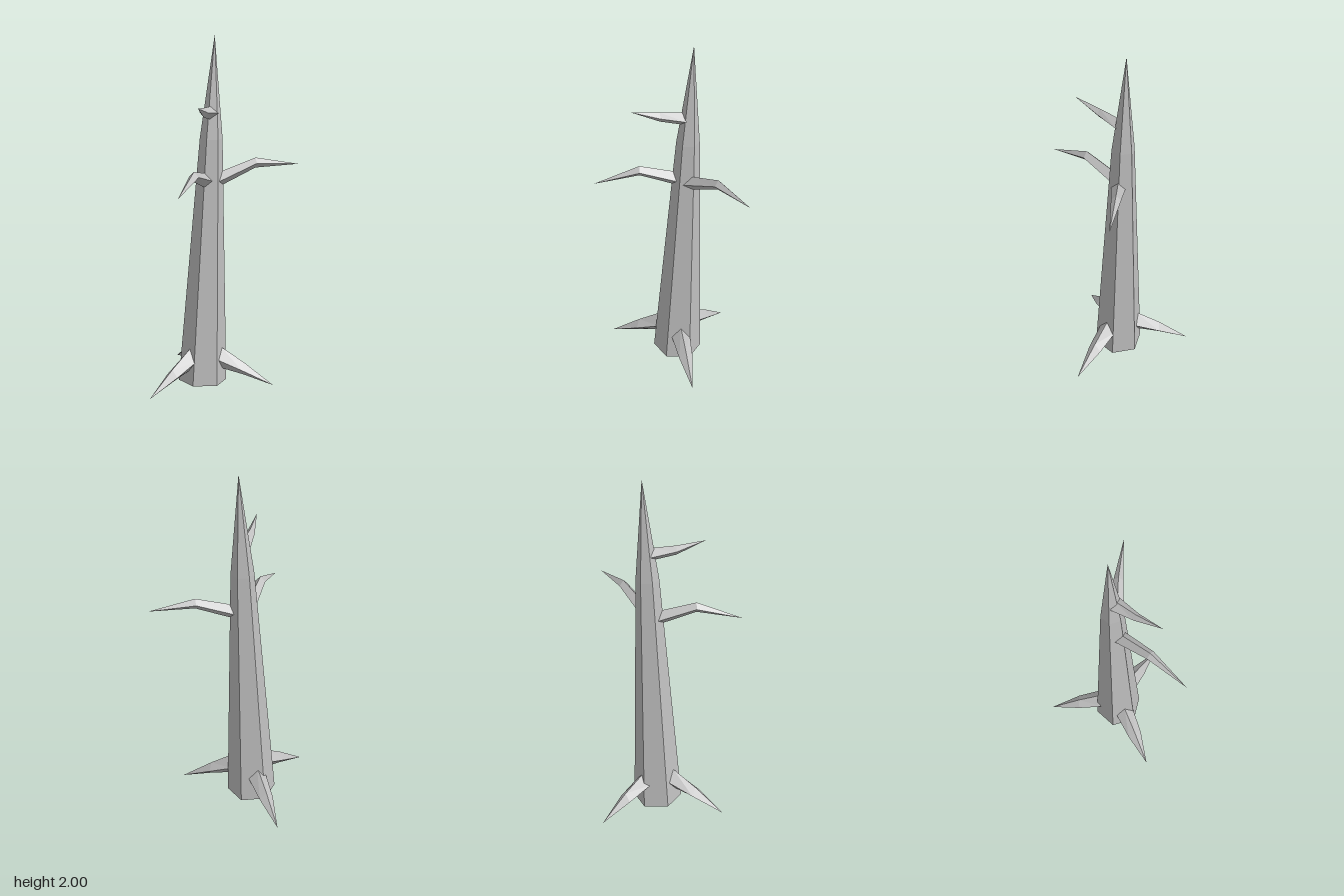
import * as THREE from 'three';

const V = (x, y, z) => new THREE.Vector3(x, y, z);

// Skin a run of equal-sided rings, closed at the start and ending in a point
function spike(rings, tip, material, name) {
  const pos = [];
  const tri = (...pts) => pts.forEach((p) => pos.push(p.x, p.y, p.z));
  const n = rings[0].length;
  const last = rings[rings.length - 1];
  for (let i = 0; i < n; i++) {
    const j = (i + 1) % n;
    for (let r = 0; r < rings.length - 1; r++) {
      const a = rings[r], b = rings[r + 1];
      tri(a[i], a[j], b[j]);
      tri(a[i], b[j], b[i]);
    }
    tri(last[i], last[j], tip);
    if (i > 0 && i < n - 1) tri(rings[0][0], rings[0][j], rings[0][i]);
  }
  const geo = new THREE.BufferGeometry();
  geo.setAttribute('position', new THREE.Float32BufferAttribute(pos, 3));
  geo.computeVertexNormals();
  const mesh = new THREE.Mesh(geo, material);
  mesh.name = name;
  return mesh;
}

// Six-sided level ring around the trunk
function hexRing(x, y, z, radius) {
  return Array.from({ length: 6 }, (_, i) => {
    const t = (i * Math.PI) / 3;
    return V(x + radius * Math.sin(t), y, z + radius * Math.cos(t));
  });
}

// Diamond-section limb: base and knee are [x, y, z, halfWidth, halfHeight]
function limb(name, base, knee, tip, material) {
  const end = V(...tip);
  const dir = V(tip[0] - base[0], 0, tip[2] - base[2]).normalize();
  const up = V(0, 1, 0);
  const side = up.clone().cross(dir);
  const rings = [base, knee].map(([x, y, z, w, h]) =>
    [[side, w], [up, h], [side, -w], [up, -h]].map(([axis, d]) =>
      V(x, y, z).addScaledVector(axis, d)));
  return spike(rings, end, material, name);
}

export function createModel() {
  const group = new THREE.Group();
  group.name = 'deadTree';
  const bark = new THREE.MeshStandardMaterial({ color: 0xc0c0c0 });
  bark.name = 'grey bark';
  bark.flatShading = true;

  // Leaning tapered trunk with a slightly tilted foot
  const foot = hexRing(-0.077, 0, -0.055, 0.139);
  foot.forEach((p) => { p.y = (p.z + 0.194) * 0.055; });
  const shoulder = hexRing(-0.045, 1.43, -0.107, 0.064);
  group.add(spike([foot, shoulder], V(-0.035, 2, -0.133), bark, 'trunk'));

  // Bent branches and ground roots
  const limbs = [
    ['upperBranch', [-0.038, 1.575, -0.09, 0.042, 0.037], [-0.022, 1.597, 0.045, 0.023, 0.027], [0.01, 1.645, 0.2]],
    ['frontBranch', [-0.052, 1.197, -0.055, 0.04, 0.042], [-0.033, 1.263, 0.158, 0.028, 0.029], [-0.015, 1.195, 0.41]],
    ['backBranch', [-0.01, 1.193, -0.11, 0.04, 0.042], [0.162, 1.28, -0.26, 0.027, 0.029], [0.365, 1.26, -0.412]],
    ['leftRoot', [0.03, 0.155, -0.072, 0.054, 0.065], [0.163, 0.098, -0.097, 0.04, 0.038], [0.335, 0.01, -0.127]],
    ['frontRoot', [-0.115, 0.158, 0.04, 0.054, 0.065], [-0.165, 0.098, 0.172, 0.041, 0.038], [-0.23, 0.01, 0.335]],
    ['backRoot', [-0.145, 0.152, -0.125, 0.054, 0.065], [-0.25, 0.095, -0.228, 0.04, 0.038], [-0.372, 0.01, -0.347]],
  ];
  limbs.forEach(([name, base, knee, tip]) => group.add(limb(name, base, knee, tip, bark)));

  return group;
}
